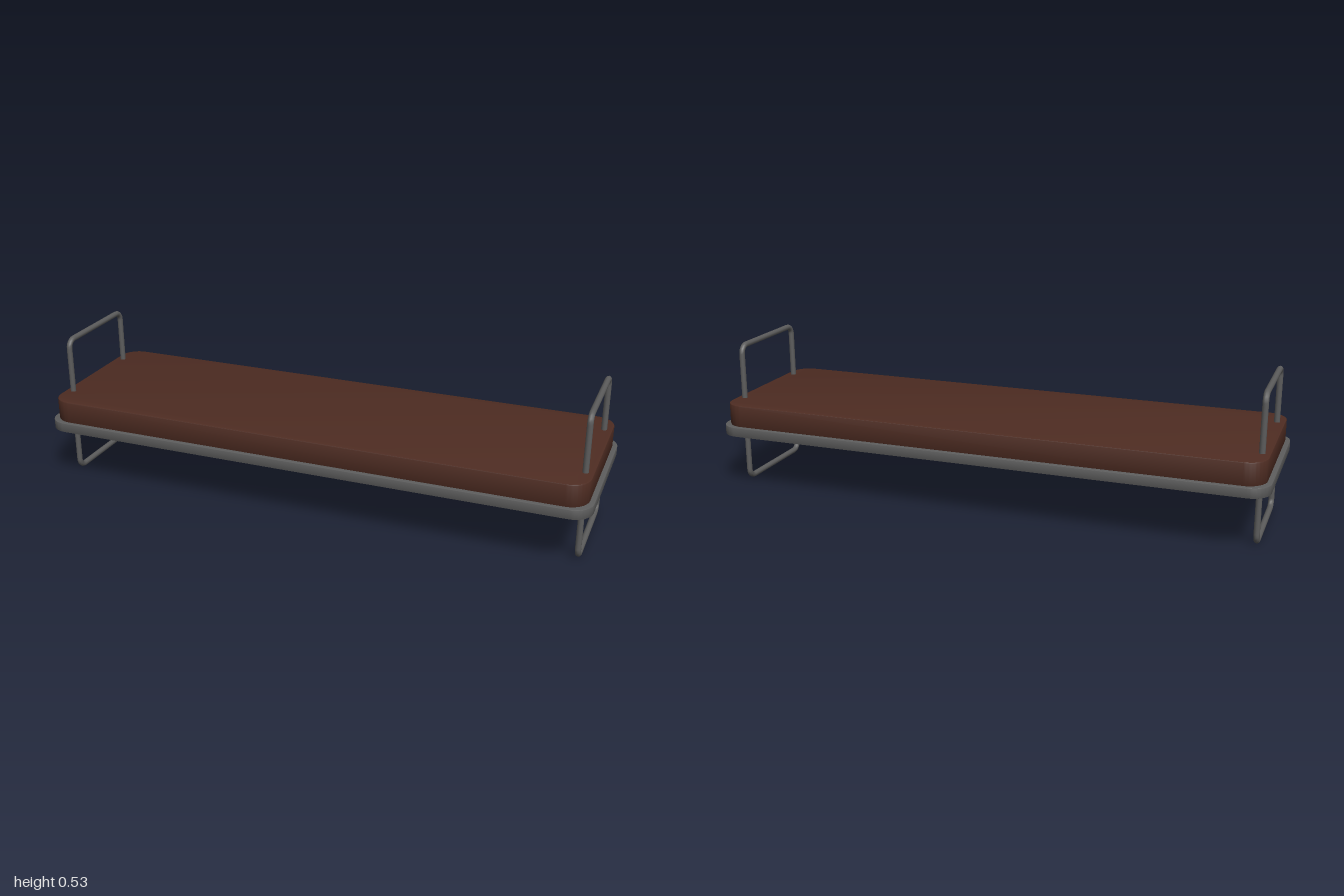
import * as THREE from 'three';
import { toCreasedNormals } from 'three/addons/utils/BufferGeometryUtils.js';

// Rounded rectangle centred on the origin, drawn into a Shape or Path
function roundedRect(path, w, h, r) {
  const x = w / 2, y = h / 2;
  path.moveTo(x, -y + r);
  path.lineTo(x, y - r);
  path.absarc(x - r, y - r, r, 0, Math.PI / 2);
  path.lineTo(-x + r, y);
  path.absarc(-x + r, y - r, r, Math.PI / 2, Math.PI);
  path.lineTo(-x, -y + r);
  path.absarc(-x + r, -y + r, r, Math.PI, Math.PI * 1.5);
  path.lineTo(x - r, -y);
  path.absarc(x - r, -y + r, r, Math.PI * 1.5, Math.PI * 2);
  return path;
}

// Horizontal slab with rounded corners and a small bevelled edge
function slab(name, width, depth, radius, bottom, top, bevel, material) {
  const shape = roundedRect(new THREE.Shape(), width - 2 * bevel, depth - 2 * bevel, radius - bevel);
  const geometry = new THREE.ExtrudeGeometry(shape, {
    depth: top - bottom - 2 * bevel, curveSegments: 8,
    bevelThickness: bevel, bevelSize: bevel, bevelSegments: 2,
  });
  geometry.rotateX(-Math.PI / 2);
  geometry.translate(0, bottom + bevel, 0);
  const mesh = new THREE.Mesh(toCreasedNormals(geometry, 0.6), material);
  mesh.name = name;
  return mesh;
}

export function createModel() {
  const group = new THREE.Group();
  group.name = 'bench';
  const steel = new THREE.MeshStandardMaterial({ color: 0x5c5c5c });
  steel.name = 'grey steel';
  const leather = new THREE.MeshStandardMaterial({ color: 0x4e2c22 });
  leather.name = 'brown leather';

  // Base board and cushion
  group.add(slab('baseBoard', 2, 0.604, 0.07, 0.207, 0.242, 0.002, steel));
  group.add(slab('cushion', 1.968, 0.58, 0.07, 0.242, 0.323, 0.004, leather));

  // Closed tube loops at both ends: leg below, armrest above
  const tube = 0.0105, height = 0.531;
  const outline = roundedRect(new THREE.Path(), 0.363, height - 2 * tube, 0.03);
  const points = outline.getPoints(6).map((p) => new THREE.Vector3(0, p.y + height / 2, p.x));
  const loop = new THREE.CurvePath();
  points.forEach((p, i) => {
    const next = points[(i + 1) % points.length];
    if (p.distanceTo(next) > 1e-5) loop.add(new THREE.LineCurve3(p, next));
  });
  const loopGeometry = new THREE.TubeGeometry(loop, 200, tube, 10, true);
  for (const side of [1, -1]) {
    const frame = new THREE.Mesh(loopGeometry, steel);
    frame.name = side > 0 ? 'leftLegFrame' : 'rightLegFrame';
    frame.position.x = side * 0.955;
    group.add(frame);
  }
  return group;
}
